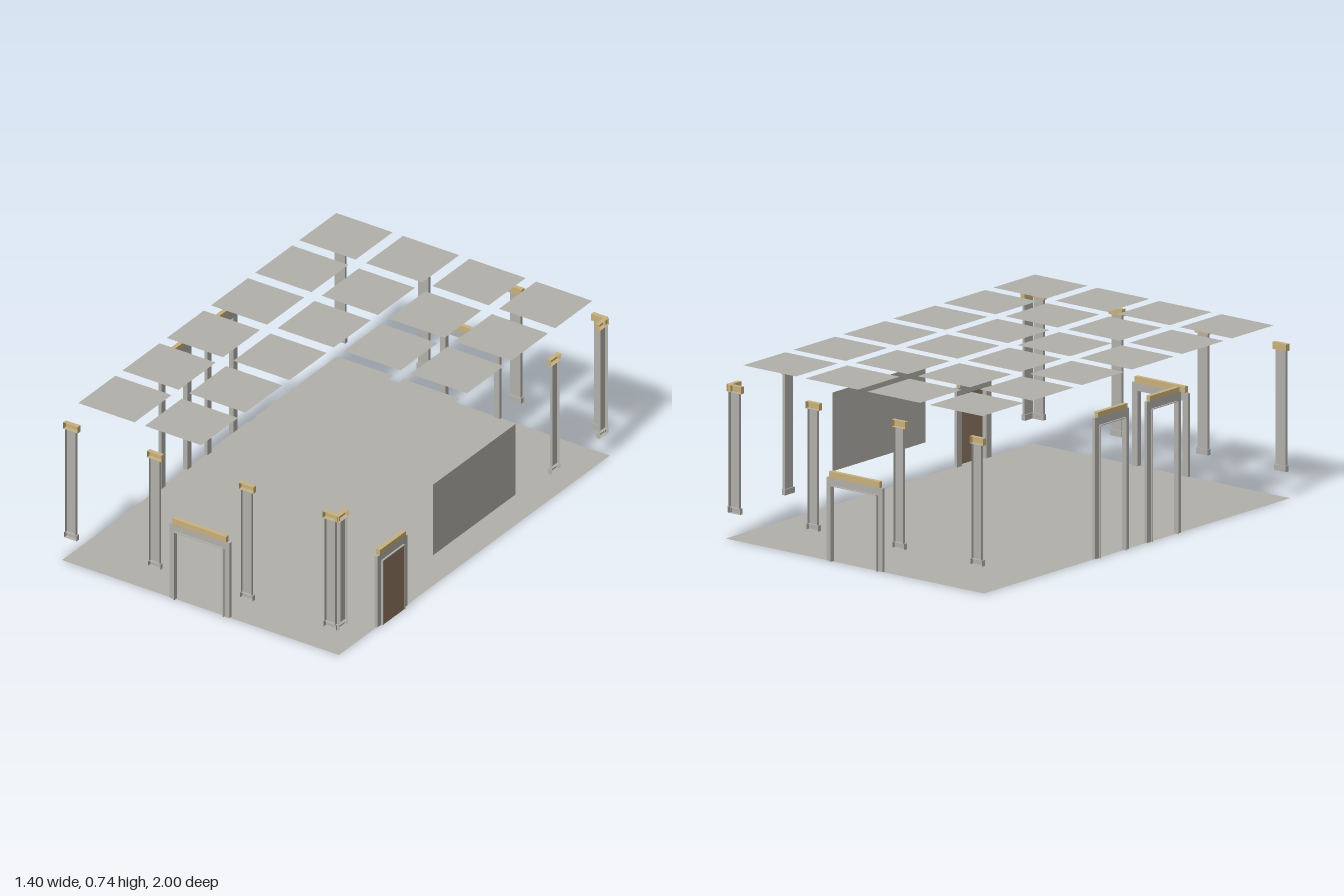
import * as THREE from 'three';

const mat = (name, color) => {
  const m = new THREE.MeshStandardMaterial({ color, side: THREE.DoubleSide });
  m.name = name;
  return m;
};

export function createModel() {
  const stone = mat('grey stone', 0xb2b0ab);
  const gold = mat('gold trim', 0xc9b17c);
  const wood = mat('brown wood', 0x8e7860);
  const root = new THREE.Group();
  root.name = 'hall';
  const WX = 0.688, WZ = 0.987, CEILING = 0.737;

  const add = (parent, name, geo, material, x, y, z) => {
    const m = new THREE.Mesh(geo, material);
    m.name = name;
    m.position.set(x, y, z);
    parent.add(m);
    return m;
  };
  // Box given by its limits on each axis
  const box = (parent, name, material, [x0, x1], [y0, y1], [z0, z1], open = false) => {
    const g = new THREE.BoxGeometry(x1 - x0, y1 - y0, z1 - z0);
    // Open boxes have no face on the wall side (+z)
    if (open) g.setIndex([...g.index.array].filter((_, i) => i < 24 || i >= 30));
    return add(parent, name, g, material, (x0 + x1) / 2, (y0 + y1) / 2, (z0 + z1) / 2);
  };
  // Group whose local +z points out through a wall
  const onWall = (name, side, along) => {
    const g = new THREE.Group();
    g.name = name;
    const place = {
      front: [along, WZ, 0], back: [along, -WZ, Math.PI],
      left: [WX, along, Math.PI / 2], right: [-WX, along, -Math.PI / 2],
    }[side];
    g.position.set(place[0], 0, place[1]);
    g.rotation.y = place[2];
    root.add(g);
    return g;
  };

  // Floor and ceiling panels
  const flat = (name, w, d, x, y, z) => {
    const g = new THREE.PlaneGeometry(w, d).rotateX(-Math.PI / 2);
    add(root, name, g, stone, x, y, z);
  };
  flat('floor', WX * 2, WZ * 2, 0, 0, 0);
  for (let i = 0; i < 4; i++) {
    for (let k = 0; k < 6; k++) {
      flat('ceilingPanel', 0.28, 0.27, -0.502 + i * 0.331, CEILING, -0.808 + k * 0.322);
    }
  }

  // Board on the side wall
  add(root, 'wallBoard', new THREE.PlaneGeometry(0.6, 0.335).rotateY(Math.PI / 2), stone, WX, 0.312, 0);

  // Pilasters: shaft, base and gold capital, open towards the wall
  const pilaster = (side, along) => {
    const g = onWall('pilaster', side, along);
    box(g, 'base', stone, [-0.031, 0.031], [0.112, 0.137], [-0.018, 0], true);
    box(g, 'shaft', stone, [-0.026, 0.026], [0.137, 0.626], [-0.013, 0], true);
    box(g, 'capital', gold, [-0.036, 0.036], [0.626, 0.656], [-0.02, 0], true);
  };
  for (const x of [-0.647, -0.231, 0.227, 0.644]) {
    pilaster('front', x);
    pilaster('back', x);
  }
  for (const z of [0.95, -0.595, -0.946]) pilaster('left', z);

  // Door frames: flat trim, lining through the wall and a gold lintel
  const doorway = (side, along, half, post, inner, outer, lintel, leaf) => {
    const g = onWall('doorway', side, along);
    const hole = half - post, trim = [-0.01, 0.004], lining = [-0.006, 0.013];
    for (const s of [-1, 1]) {
      const span = (a, b) => [Math.min(s * a, s * b), Math.max(s * a, s * b)];
      box(g, 'doorPost', stone, span(hole, half), [0, inner], trim);
      box(g, 'doorLining', stone, span(hole, hole + 0.004), [0, inner], lining);
    }
    box(g, 'doorHead', stone, [-half, half], [inner, outer], trim);
    box(g, 'headLining', stone, [-hole, hole], [inner, inner + 0.003], lining);
    box(g, 'lintel', gold, [-half + 0.015, half - 0.015], [outer, lintel], [-0.012, 0.007]);
    if (leaf) {
      add(g, 'doorLeaf', new THREE.PlaneGeometry(hole * 2, inner), wood, 0, inner / 2, 0.011);
    }
  };
  doorway('front', -0.002, 0.149, 0.028, 0.321, 0.355, 0.382, false);
  doorway('back', -0.002, 0.149, 0.028, 0.321, 0.355, 0.382, false);
  doorway('left', 0.602, 0.11, 0.031, 0.304, 0.336, 0.361, true);
  for (const z of [0.169, -0.166]) doorway('right', z, 0.11, 0.029, 0.563, 0.6, 0.622, false);

  return root;
}
